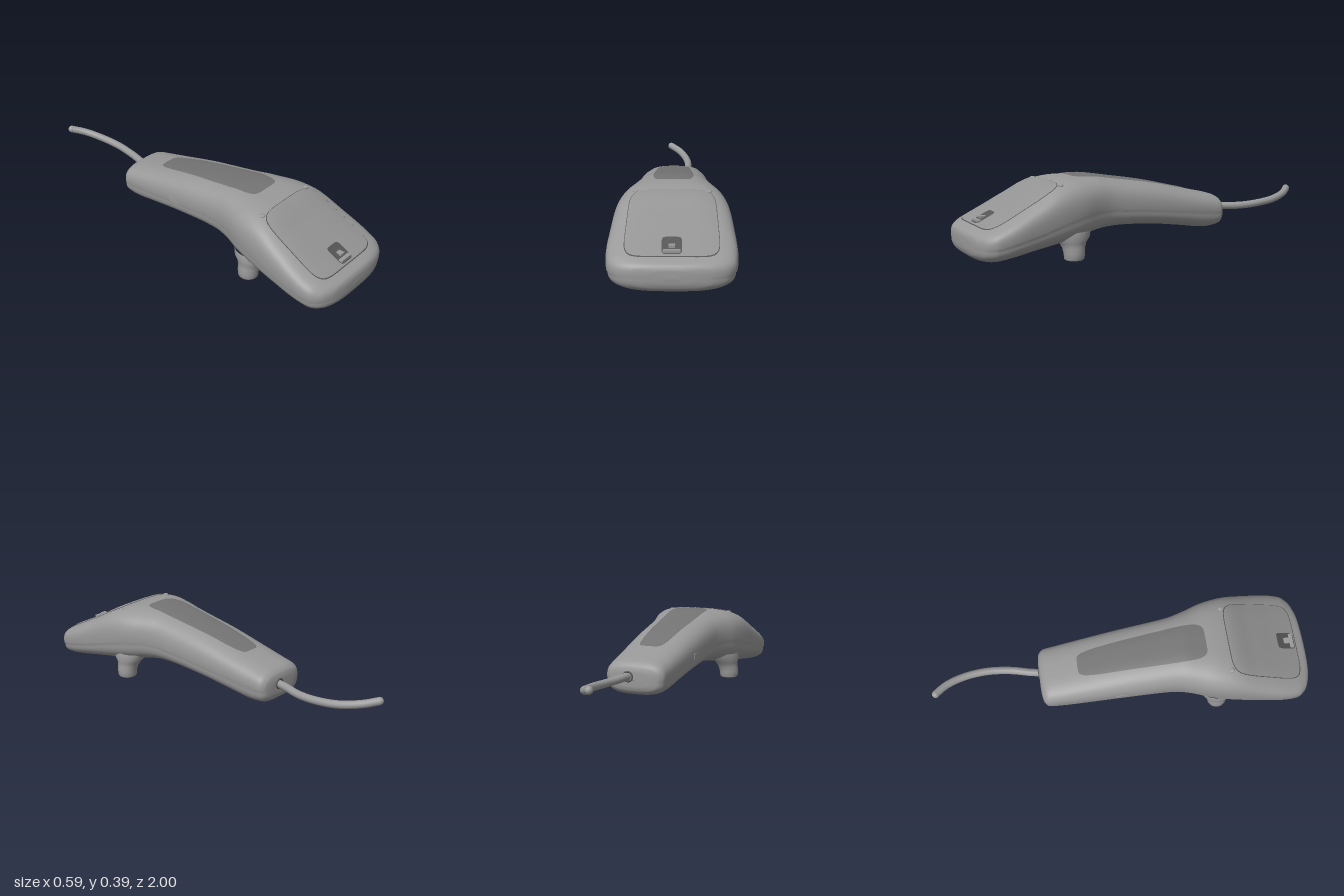
import * as THREE from 'three';

// Body stations: z, half width, bottom y, seam y, top y, squareness
const STATIONS = [
  [-0.437, 0.002, 0.149, 0.15, 0.151, 3],
  [-0.435, 0.09, 0.11, 0.15, 0.195, 3],
  [-0.425, 0.135, 0.088, 0.15, 0.222, 3],
  [-0.40, 0.155, 0.072, 0.152, 0.24, 3],
  [-0.34, 0.16, 0.065, 0.158, 0.255, 3],
  [-0.20, 0.169, 0.085, 0.175, 0.288, 3],
  [0.00, 0.18, 0.113, 0.2, 0.335, 3],
  [0.20, 0.19, 0.126, 0.222, 0.37, 3],
  [0.27, 0.196, 0.124, 0.228, 0.382, 3],
  [0.35, 0.216, 0.115, 0.23, 0.392, 3],
  [0.45, 0.25, 0.092, 0.22, 0.392, 3.2],
  [0.56, 0.272, 0.074, 0.198, 0.377, 3.6],
  [0.70, 0.287, 0.055, 0.16, 0.308, 4],
  [0.83, 0.296, 0.034, 0.13, 0.24, 4],
  [0.91, 0.288, 0.025, 0.112, 0.201, 4],
  [0.955, 0.258, 0.032, 0.108, 0.18, 3.6],
  [0.985, 0.195, 0.05, 0.107, 0.165, 3.2],
  [0.997, 0.11, 0.075, 0.107, 0.145, 3],
  [1.0, 0.002, 0.106, 0.107, 0.108, 3],
];

// Smooth interpolation of the stations that never overshoots
function station(z) {
  const S = STATIONS;
  let i = 0;
  while (i < S.length - 2 && z > S[i + 1][0]) i++;
  const h = S[i + 1][0] - S[i][0], t = (z - S[i][0]) / h;
  const slope = (k, c) => (S[k + 1][c] - S[k][c]) / (S[k + 1][0] - S[k][0]);
  const tangent = (k, c) => {
    if (k === 0) return slope(0, c);
    if (k === S.length - 1) return slope(k - 1, c);
    const a = slope(k - 1, c), b = slope(k, c);
    return a * b <= 0 ? 0 : (2 * a * b) / (a + b);
  };
  const [w, bottom, seam, top, n] = [1, 2, 3, 4, 5].map((c) => {
    const a = S[i][c], b = S[i + 1][c], t2 = t * t, t3 = t2 * t;
    return a * (2 * t3 - 3 * t2 + 1) + b * (3 * t2 - 2 * t3)
      + h * (tangent(i, c) * (t3 - 2 * t2 + t) + tangent(i + 1, c) * (t3 - t2));
  });
  return { w, bottom, seam, top, n };
}

// Height of the upper shell above a point
function surfaceY(x, z) {
  const s = station(z), r = Math.min(1, Math.abs(x) / s.w);
  return s.seam + (s.top - s.seam) * Math.pow(1 - Math.pow(r, s.n), 1 / s.n);
}

// Joins rows of equal length into a surface
function skin(rows, closed) {
  const m = rows[0].length, index = [];
  for (let i = 0; i < rows.length - 1; i++) {
    for (let j = 0; j < (closed ? m : m - 1); j++) {
      const k = (j + 1) % m, a = i * m + j, b = i * m + k;
      index.push(a, b, a + m, b, b + m, a + m);
    }
  }
  const g = new THREE.BufferGeometry();
  g.setAttribute('position', new THREE.Float32BufferAttribute(rows.flat(2), 3));
  g.setIndex(index);
  g.computeVertexNormals();
  return g;
}

// Rounded housing with a small lip where the two shells meet
function bodyGeometry() {
  const N = 32, SUB = 4, rows = [];
  const power = (v, e) => Math.sign(v) * Math.pow(Math.abs(v), e);
  for (let i = 0; i <= (STATIONS.length - 1) * SUB; i++) {
    const k = Math.min(Math.floor(i / SUB), STATIONS.length - 2), f = i / SUB - k;
    const z = STATIONS[k][0] * (1 - f) + STATIONS[k + 1][0] * f;
    const s = station(z), row = [];
    for (const side of [1, -1]) {
      const w = side > 0 ? s.w : s.w * 0.98, n = side > 0 ? s.n : 3;
      const height = side > 0 ? s.top - s.seam : s.seam - s.bottom;
      for (let j = 0; j <= N; j++) {
        const a = Math.PI * (j / N + (side > 0 ? 0 : 1));
        const c = j % N ? Math.cos(a) : Math.round(Math.cos(a));
        const v = j % N ? Math.sin(a) : 0;
        row.push([w * power(c, 2 / n), s.seam + height * power(v, 2 / n), z]);
      }
    }
    rows.push(row);
  }
  return skin(rows, true);
}

// Thin rounded panel that follows the upper shell
function panelGeometry(z0, z1, half0, half1, corner, lift) {
  const rows = [], NZ = 48, NX = 24;
  for (let i = 0; i <= NZ; i++) {
    const c = -Math.cos((Math.PI * i) / NZ), s = (c + 1) / 2;
    const z = z0 + (z1 - z0) * s;
    const half = (half0 + (half1 - half0) * s)
      * Math.pow(Math.max(0, 1 - Math.pow(Math.abs(c), corner)), 1 / corner);
    const row = [];
    for (let j = 0; j <= NX; j++) {
      const x = half * (1 - (2 * j) / NX);
      row.push([x, surfaceY(x, z) + lift, z]);
    }
    rows.push(row);
  }
  return skin(rows, false);
}

export function createModel() {
  const model = new THREE.Group();
  const material = (name, color, side = THREE.FrontSide) => {
    const m = new THREE.MeshStandardMaterial({ color, side });
    m.name = name;
    return m;
  };
  const shell = material('shell grey', 0x999999);
  const screen = material('screen grey', 0x939393, THREE.DoubleSide);
  const grip = material('grip grey', 0x747474, THREE.DoubleSide);
  const dark = material('recess grey', 0x555555, THREE.DoubleSide);
  const add = (name, geometry, mat, x = 0, y = 0, z = 0) => {
    const mesh = new THREE.Mesh(geometry, mat);
    mesh.name = name;
    mesh.position.set(x, y, z);
    model.add(mesh);
    return mesh;
  };

  add('body', bodyGeometry(), shell);

  // Front face panel with its groove, and the grip inlay
  add('faceGroove', panelGeometry(0.553, 0.945, 0.199, 0.218, 6, 0.002), dark);
  add('facePanel', panelGeometry(0.557, 0.941, 0.196, 0.215, 6, 0.004), screen);
  add('gripInlay', panelGeometry(-0.23, 0.44, 0.07, 0.105, 6, 0.004), grip);

  // Latch set into the face
  add('latchRecess', panelGeometry(0.838, 0.935, 0.045, 0.045, 6, 0.007), dark);
  add('latchTab', new THREE.BoxGeometry(0.078, 0.024, 0.02), shell, 0, 0.198, 0.918);
  add('latchBar', new THREE.BoxGeometry(0.03, 0.01, 0.03), shell, 0, 0.22, 0.89);

  // Small studs at the upper corners of the face
  for (const side of [1, -1]) {
    const x = side * 0.172;
    const stud = add('stud', new THREE.SphereGeometry(0.013, 16, 10), shell, x, surfaceY(x, 0.55), 0.55);
    stud.scale.y = 0.5;
  }

  // Side button
  add('sideButton', new THREE.BoxGeometry(0.012, 0.026, 0.06), shell, -0.175, 0.21, -0.02);

  // Feet, flaring and leaning inward into the body
  const footProfile = [[0, 0], [0.044, 0], [0.05, 0.006], [0.053, 0.035], [0.057, 0.06],
    [0.068, 0.085], [0.09, 0.11], [0.1, 0.14]].map(([r, y]) => new THREE.Vector2(r, y));
  for (const side of [1, -1]) {
    const g = new THREE.LatheGeometry(footProfile, 32);
    const p = g.attributes.position;
    for (let i = 0; i < p.count; i++) {
      const rise = Math.max(0, p.getY(i) - 0.04);
      p.setX(i, p.getX(i) * (1 - rise * 2) - side * rise * 0.35);
    }
    g.computeVertexNormals();
    add('foot', g, shell, side * 0.197, 0.002, 0.495);
  }

  // Cable with collar and rounded tip
  const cable = new THREE.CatmullRomCurve3([
    [0.025, 0.165, -0.4], [0.04, 0.165, -0.48], [0.066, 0.162, -0.58], [0.077, 0.168, -0.7],
    [0.062, 0.18, -0.82], [0.022, 0.2, -0.92], [-0.028, 0.217, -0.983],
  ].map((p) => new THREE.Vector3(...p)));
  add('cable', new THREE.TubeGeometry(cable, 48, 0.02, 16), shell);
  add('cableTip', new THREE.SphereGeometry(0.02, 16, 12), shell, -0.028, 0.217, -0.981);
  add('cableCollar', new THREE.TorusGeometry(0.024, 0.005, 8, 24), dark, 0.028, 0.165, -0.435);

  return model;
}
